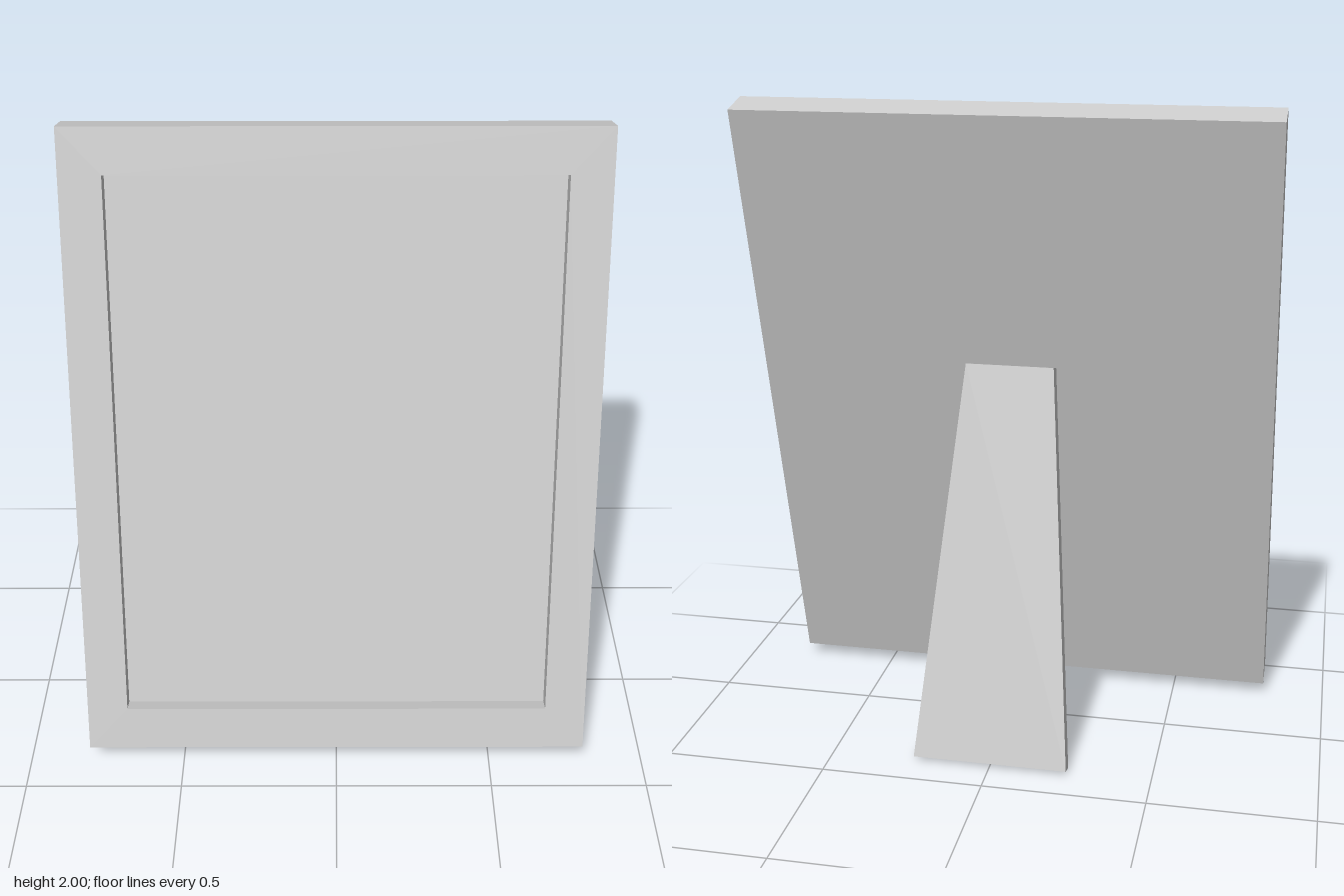
import * as THREE from 'three';

const TILT = THREE.MathUtils.degToRad(15);
const W = 1.605, H = 2.004, DEPTH = 0.11, RECESS = 0.05;
const OPEN_W = 1.35, OPEN_H = 1.724;
const LEG_H = 1.23, LEG_T = 0.047, LEG_TOP = 0.137, LEG_BOTTOM = 0.24;

// Closed path through four corners: half widths at the bottom and top, centred on the origin
function outline(PathType, bottom, top, height) {
  const h = height / 2;
  return new PathType([
    new THREE.Vector2(-bottom, -h), new THREE.Vector2(bottom, -h),
    new THREE.Vector2(top, h), new THREE.Vector2(-top, h),
  ]);
}

function addMesh(parent, name, geometry, material, z = 0) {
  const mesh = new THREE.Mesh(geometry, material);
  mesh.name = name;
  mesh.position.z = z;
  parent.add(mesh);
  return mesh;
}

const extrude = (shape, depth) =>
  new THREE.ExtrudeGeometry(shape, { depth, bevelEnabled: false });

export function createModel() {
  const model = new THREE.Group();
  model.name = 'pictureFrame';
  const material = new THREE.MeshStandardMaterial({ color: 0xcccccc, flatShading: true });

  // Frame leaning back: raised border in front of a solid back board
  const frame = new THREE.Group();
  frame.name = 'frame';
  const border = outline(THREE.Shape, W / 2, W / 2, H);
  border.holes.push(outline(THREE.Path, OPEN_W / 2, OPEN_W / 2, OPEN_H));
  addMesh(frame, 'border', extrude(border, RECESS), material, DEPTH / 2 - RECESS);
  addMesh(frame, 'backBoard', new THREE.BoxGeometry(W, H, DEPTH - RECESS), material, -RECESS / 2);
  frame.position.set(0, 1.018, 0.078);
  frame.rotation.x = -TILT;
  model.add(frame);

  // Tapered easel leg leaning forward against the back
  const leg = new THREE.Group();
  leg.name = 'easelLeg';
  const legShape = outline(THREE.Shape, LEG_BOTTOM, LEG_TOP, LEG_H);
  addMesh(leg, 'legBoard', extrude(legShape, LEG_T), material, -LEG_T / 2);
  leg.position.set(0, 0.6, -0.206);
  leg.rotation.x = TILT;
  model.add(leg);

  return model;
}
